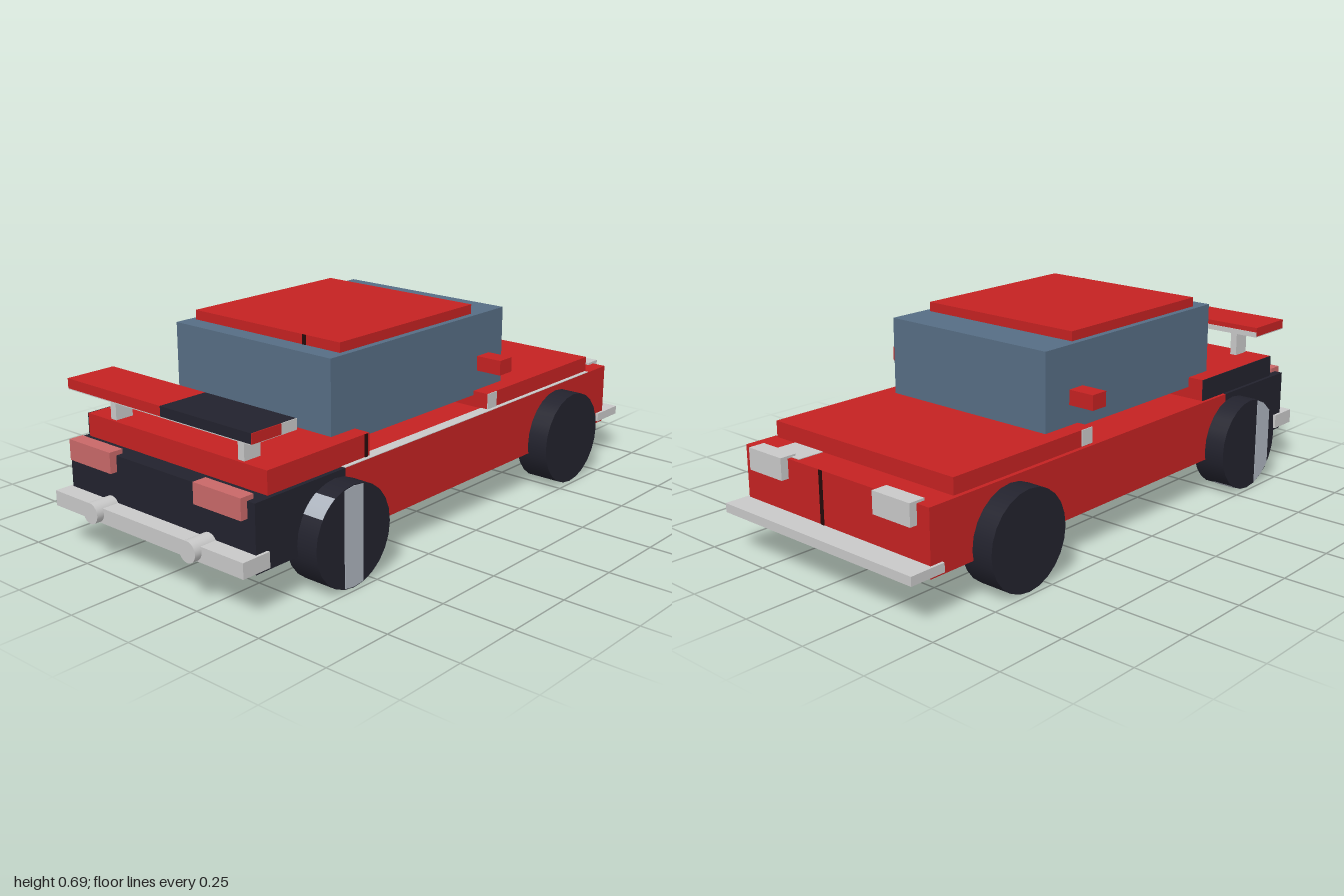
import * as THREE from 'three';

const mat = (name, color, extra = {}) => {
  const m = new THREE.MeshStandardMaterial({ color, ...extra });
  m.name = name;
  return m;
};

export function createModel() {
  const car = new THREE.Group();
  car.name = 'car';

  const red = mat('red paint', 0xc42222);
  const dark = mat('dark trim', 0x22222d);
  const glass = mat('blue glass', 0x566d84);
  const grey = mat('light grey', 0xc8c8c8);
  const pink = mat('tail light pink', 0xc86868);
  const silver = mat('wheel silver', 0xacb3bd);
  const seam = mat('seam black', 0x250a0a);

  // Box given by its extents along x, y and z
  function box(name, material, [x0, x1], [y0, y1], [z0, z1], parent = car) {
    const mesh = new THREE.Mesh(new THREE.BoxGeometry(x1 - x0, y1 - y0, z1 - z0), material);
    mesh.position.set((x0 + x1) / 2, (y0 + y1) / 2, (z0 + z1) / 2);
    mesh.name = name;
    parent.add(mesh);
    return mesh;
  }
  // Same box on both sides of the car
  function pair(name, material, [x0, x1], y, z) {
    box(name + 'Left', material, [x0, x1], y, z);
    box(name + 'Right', material, [-x1, -x0], y, z);
  }

  // Body shell: red main part and dark tail
  box('bodyMain', red, [-0.41, 0.41], [0.13, 0.345], [-0.915, 0.54]);
  box('bodyTail', dark, [-0.41, 0.41], [0.13, 0.345], [0.54, 0.915]);
  box('sillStrip', grey, [0.37, 0.41], [0.345, 0.347], [-0.8, 0.54]);
  box('nosePatch', grey, [0.17, 0.305], [0.345, 0.347], [-0.9, -0.8]);
  box('noseSeam', seam, [0.045, 0.06], [0.17, 0.345], [-0.917, -0.915]);

  // Hood with grey rear corners, and trunk lid
  box('hood', red, [-0.395, 0.395], [0.345, 0.4], [-0.805, -0.19]);
  pair('hoodCorner', grey, [0.395, 0.398], [0.347, 0.4], [-0.24, -0.19]);
  box('trunk', red, [-0.395, 0.395], [0.345, 0.42], [0.415, 0.85]);
  box('trunkSeam', seam, [0.395, 0.398], [0.347, 0.42], [0.425, 0.437]);
  box('trunkSidePanel', dark, [-0.398, -0.395], [0.345, 0.42], [0.415, 0.85]);

  // Cabin and roof
  box('cabin', glass, [-0.337, 0.337], [0.385, 0.662], [-0.345, 0.522]);
  box('roof', red, [-0.315, 0.315], [0.662, 0.694], [-0.195, 0.457]);
  box('roofSeam', seam, [0.162, 0.178], [0.662, 0.694], [0.457, 0.459]);

  // Mirrors
  pair('mirror', red, [0.352, 0.446], [0.475, 0.525], [-0.25, -0.185]);

  // Spoiler: two-colour blade on posts
  const spoiler = new THREE.Group();
  spoiler.name = 'spoiler';
  car.add(spoiler);
  box('bladeRed', red, [-0.402, 0.028], [0.515, 0.547], [0.738, 0.915], spoiler);
  box('bladeDark', dark, [0.028, 0.402], [0.515, 0.547], [0.738, 0.915], spoiler);
  box('bladeUnderside', grey, [-0.402, 0.402], [0.512, 0.515], [0.738, 0.915], spoiler);
  box('bladeLeadingEdge', grey, [-0.402, 0.402], [0.512, 0.53], [0.735, 0.738], spoiler);
  box('bladeEndGrey', grey, [0.402, 0.405], [0.515, 0.547], [0.738, 0.8], spoiler);
  box('bladeEndRed', red, [0.402, 0.405], [0.515, 0.547], [0.8, 0.915], spoiler);
  pair('spoilerPost', grey, [0.27, 0.295], [0.42, 0.512], [0.775, 0.84]);

  // Lights and bumpers
  pair('headlight', grey, [0.205, 0.36], [0.28, 0.353], [-0.942, -0.885]);
  pair('tailLight', pink, [0.185, 0.38], [0.292, 0.36], [0.89, 0.94]);
  box('frontBumper', grey, [-0.42, 0.42], [0.14, 0.17], [-1, -0.87]);
  box('rearBumper', grey, [-0.42, 0.42], [0.14, 0.19], [0.87, 0.975]);

  // Exhaust pipes
  for (const side of [-1, 1]) {
    const pipe = new THREE.Mesh(new THREE.CylinderGeometry(0.034, 0.034, 0.13, 20), grey);
    pipe.rotation.x = Math.PI / 2;
    pipe.position.set(side * 0.218, 0.173, 0.935);
    pipe.name = 'exhaustPipe';
    car.add(pipe);
  }

  // Flat disc slice lying between two z offsets, used on the wheel faces
  function discSlice(r, z0, z1) {
    const shape = new THREE.Shape();
    const a0 = Math.acos(z0 / r), a1 = Math.acos(z1 / r);
    shape.moveTo(z0, r * Math.sin(a0));
    shape.lineTo((z0 + z1) / 2, Math.sqrt(r * r - ((z0 + z1) / 2) ** 2));
    shape.lineTo(z1, r * Math.sin(a1));
    shape.lineTo(z1, -r * Math.sin(a1));
    shape.lineTo((z0 + z1) / 2, -Math.sqrt(r * r - ((z0 + z1) / 2) ** 2));
    shape.lineTo(z0, -r * Math.sin(a0));
    return new THREE.ExtrudeGeometry(shape, { depth: 0.124, bevelEnabled: false });
  }

  // Wheels; the rear ones carry a silver band and tread patches
  const R = 0.163;
  for (const side of [-1, 1]) {
    for (const z of [-0.585, 0.587]) {
      const wheel = new THREE.Group();
      wheel.name = (z < 0 ? 'front' : 'rear') + 'Wheel' + (side > 0 ? 'Left' : 'Right');
      wheel.position.set(side * 0.425, R, z);
      const tyre = new THREE.Mesh(new THREE.CylinderGeometry(R, R, 0.12, 24), dark);
      tyre.rotation.z = Math.PI / 2;
      tyre.name = 'tyre';
      wheel.add(tyre);
      if (z > 0) {
        const [b0, b1] = side > 0 ? [-0.04, 0.042] : [0.045, 0.125];
        const band = new THREE.Mesh(discSlice(R - 0.003, b0, b1), silver);
        band.rotation.y = -Math.PI / 2; // shape x runs along +z
        band.position.x = 0.062;
        band.name = 'wheelBand';
        wheel.add(band);
        // Tread patch angles run from straight down over +z to the top
        const patches = side > 0 ? [[2.62, 0.45, 0.12]] : [[2.62, 0.45, 0.12], [0.35, 1.0, 0.08]];
        for (const [start, length, width] of patches) {
          const patch = new THREE.Mesh(
            new THREE.CylinderGeometry(R + 0.001, R + 0.001, width, 6, 1, true, 0, length), silver);
          // Cylinder axis to x, angle zero pointing down
          patch.geometry.rotateZ(-Math.PI / 2);
          patch.geometry.rotateX(Math.PI / 2 - start);
          patch.position.x = side * (0.12 - width) / 2;
          patch.name = 'treadPatch';
          wheel.add(patch);
        }
      }
      car.add(wheel);
    }
  }
  return car;
}
